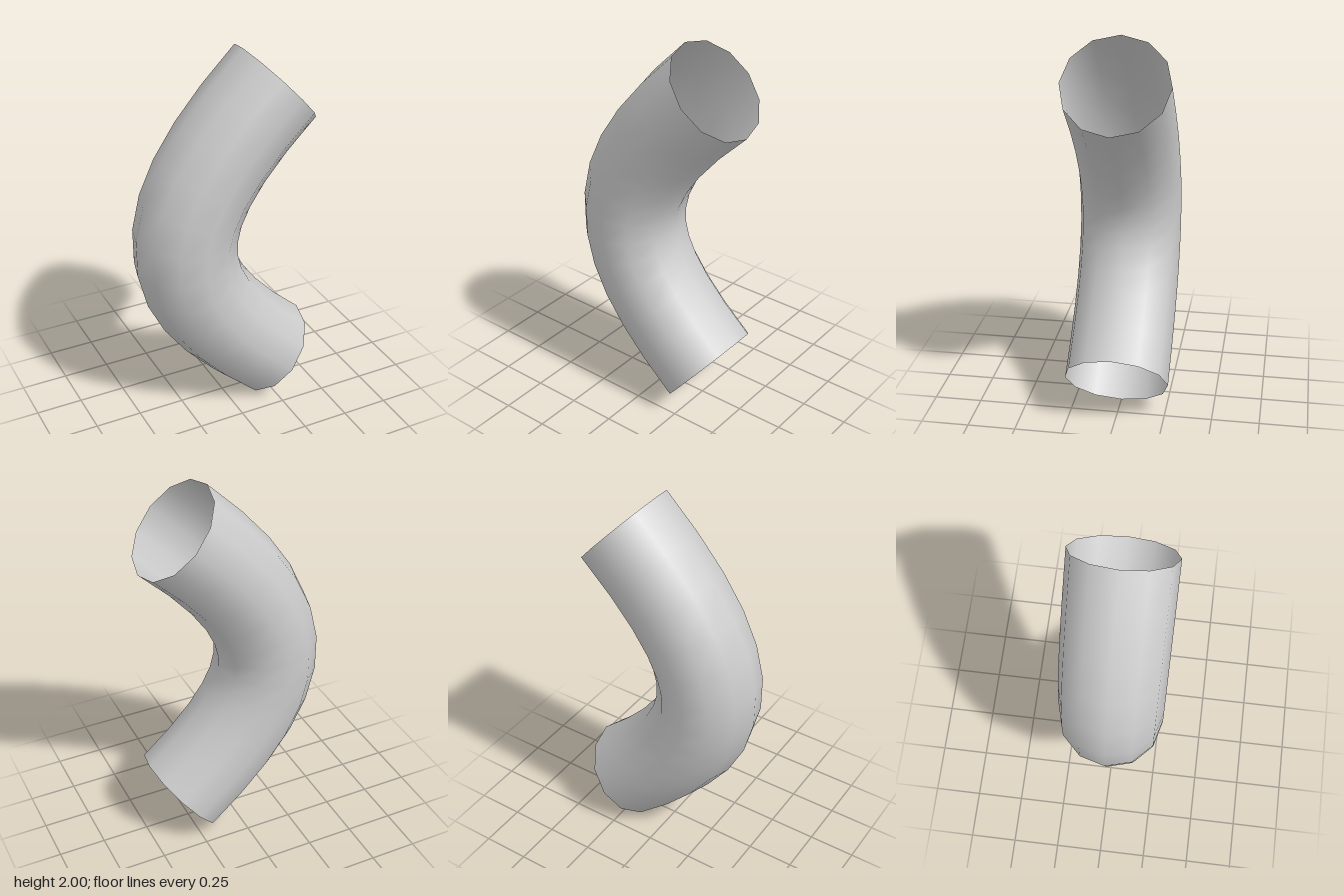
import * as THREE from 'three';

export function createModel() {
  const group = new THREE.Group();
  group.name = 'bentPipe';

  // Centre line of the bend, from the upper opening to the lower one
  const path = new THREE.CubicBezierCurve3(
    new THREE.Vector3(0.295, 1.801, 0),
    new THREE.Vector3(-0.395, 1.165, 0),
    new THREE.Vector3(-0.375, 0.765, 0),
    new THREE.Vector3(0.293, 0.211, 0)
  );
  // Even parameter steps put the rings closer together in the tight middle
  path.getUtoTmapping = (u) => u;

  // Open-ended twelve-sided pipe wall
  const pipe = new THREE.Mesh(
    new THREE.TubeGeometry(path, 11, 0.272, 12, false),
    new THREE.MeshStandardMaterial({ color: 0xcccccc, side: THREE.DoubleSide })
  );
  pipe.name = 'pipeWall';
  group.add(pipe);

  return group;
}
